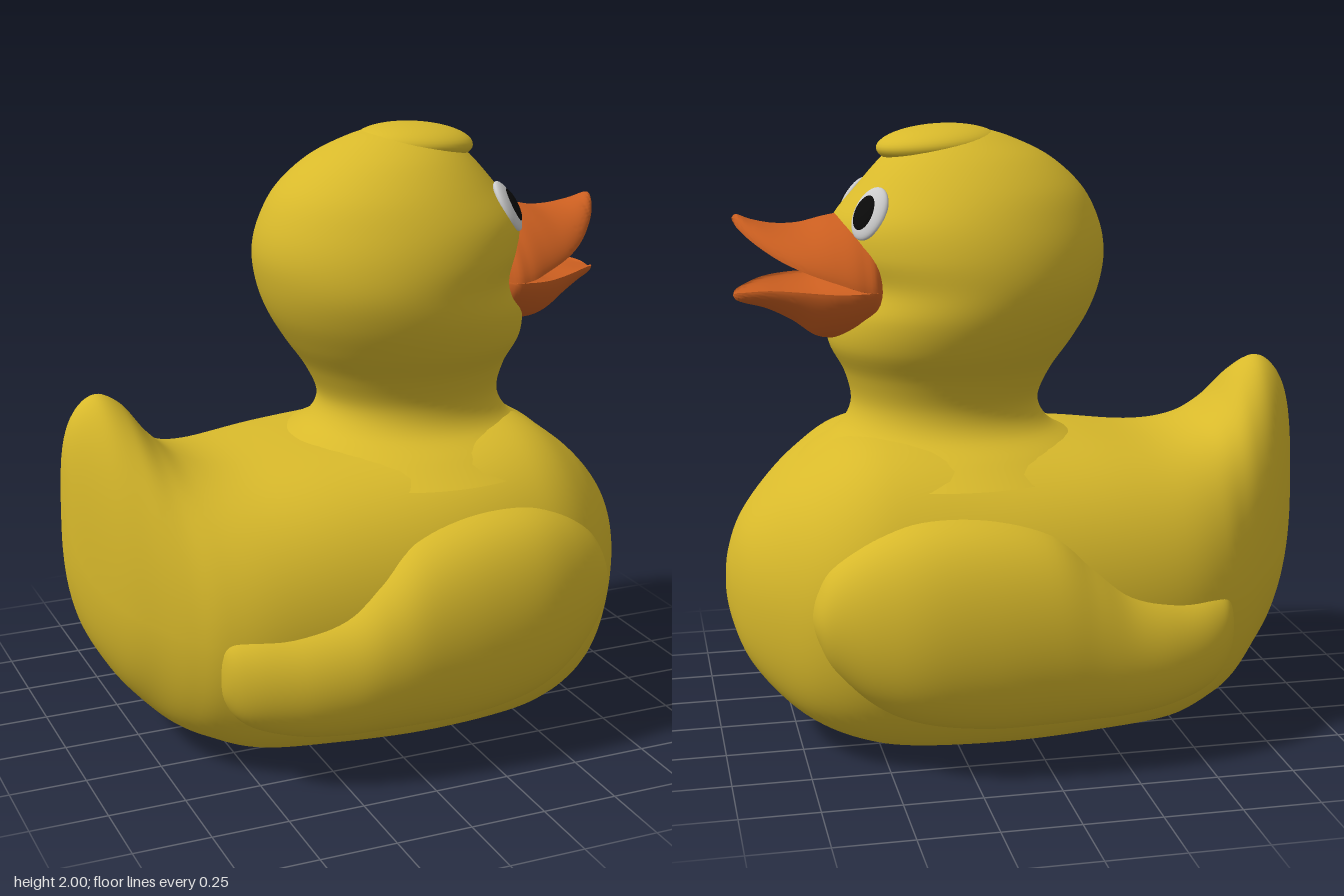
import * as THREE from 'three';
import { toCreasedNormals } from 'three/addons/utils/BufferGeometryUtils.js';

const YELLOW = 0xd8b92b, ORANGE = 0xcc5f20, WHITE = 0xdddddd, BLACK = 0x0a0a0a;

// Smooth interpolation through rows of section values
function spline(rows, u) {
  const n = rows.length - 1;
  const i = Math.min(Math.floor(u * n), n - 1);
  const t = u * n - i;
  const at = (k) => rows[Math.max(0, Math.min(n, k))];
  return rows[i].map((_, c) => {
    const [a, b, d, e] = [at(i - 1)[c], at(i)[c], at(i + 1)[c], at(i + 2)[c]];
    return b + 0.5 * t * (d - a + t * (2 * a - 5 * b + 4 * d - e + t * (3 * (b - d) + e - a)));
  });
}

// Closed surface through the sections; section(row, cos, sin) gives a point
function loft(rows, section, steps = 6, around = 72) {
  const count = (rows.length - 1) * steps;
  const pos = [], index = [];
  for (let i = 0; i <= count; i++) {
    const row = spline(rows, i / count);
    for (let j = 0; j < around; j++) {
      const t = (j / around) * Math.PI * 2;
      pos.push(...section(row, Math.cos(t), Math.sin(t)));
    }
  }
  for (let i = 0; i < count; i++) {
    for (let j = 0; j < around; j++) {
      const k = (j + 1) % around;
      const a = i * around + j, b = a + around, c = i * around + k, d = c + around;
      index.push(a, b, c, b, d, c);
    }
  }
  const g = new THREE.BufferGeometry();
  g.setAttribute('position', new THREE.Float32BufferAttribute(pos, 3));
  g.setIndex(index);
  g.computeVertexNormals();
  return g;
}

const spow = (v, p) => Math.sign(v) * Math.pow(Math.abs(v), p);

function part(name, geometry, color) {
  const mesh = new THREE.Mesh(geometry, new THREE.MeshStandardMaterial({ color, roughness: 0.6 }));
  mesh.name = name;
  return mesh;
}

export function createModel() {
  const duck = new THREE.Group();
  duck.name = 'duck';

  // Body and upturned tail: x, top, bottom, half width, widest height, top roundness
  const bodyRows = [
    [-0.97, 0.86, 0.84, 0, 0.85, 1],
    [-0.96, 1.04, 0.60, 0.08, 0.72, 1],
    [-0.92, 1.15, 0.42, 0.17, 0.62, 1.1],
    [-0.85, 1.20, 0.28, 0.28, 0.56, 1.2],
    [-0.77, 1.16, 0.18, 0.37, 0.53, 1.2],
    [-0.69, 1.06, 0.11, 0.45, 0.5, 1.0],
    [-0.60, 0.99, 0.07, 0.52, 0.5, 0.82],
    [-0.45, 0.96, 0.025, 0.58, 0.5, 0.68],
    [-0.2, 0.98, 0.01, 0.62, 0.5, 0.62],
    [0.1, 1.0, 0.0, 0.64, 0.5, 0.6],
    [0.4, 1.03, 0.005, 0.62, 0.5, 0.62],
    [0.57, 1.01, 0.035, 0.59, 0.5, 0.66],
    [0.71, 0.925, 0.09, 0.51, 0.5, 0.7],
    [0.82, 0.83, 0.17, 0.385, 0.5, 0.75],
    [0.91, 0.72, 0.28, 0.24, 0.5, 0.8],
    [0.955, 0.61, 0.4, 0.11, 0.5, 0.9],
    [0.968, 0.51, 0.49, 0, 0.5, 1],
  ];
  duck.add(part('body', loft(bodyRows, ([x, top, bottom, w, mid, p], c, s) => [
    x,
    mid + s * (s > 0 ? top - mid : mid - bottom),
    Math.max(w, 0) * spow(c, s > 0 ? p : 0.45 + 0.4 * Math.max(0, p - 0.6)),
  ]), YELLOW));

  // Neck and head: y, back x, front x, half width
  const headRows = [
    [0.90, -0.3, 0.74, 0.5],
    [0.96, -0.22, 0.67, 0.4],
    [1.02, -0.12, 0.58, 0.3],
    [1.10, -0.08, 0.54, 0.27],
    [1.20, -0.12, 0.56, 0.3],
    [1.30, -0.19, 0.61, 0.36],
    [1.40, -0.25, 0.61, 0.398],
    [1.50, -0.285, 0.57, 0.41],
    [1.60, -0.297, 0.6, 0.403],
    [1.70, -0.275, 0.59, 0.372],
    [1.80, -0.22, 0.51, 0.315],
    [1.89, -0.12, 0.43, 0.235],
    [1.95, 0.0, 0.36, 0.15],
    [1.98, 0.1, 0.29, 0.08],
    [1.99, 0.2, 0.2, 0],
  ];
  duck.add(part('head', loft(headRows, ([y, back, front, w], c, s) => [
    (back + front) / 2 - s * (front - back) / 2, y, w * c,
  ]), YELLOW));

  // Tuft curling over the forehead
  const tuft = part('tuft', new THREE.SphereGeometry(1, 40, 24), YELLOW);
  tuft.scale.set(0.2, 0.065, 0.17);
  tuft.position.set(0.245, 1.932, 0);
  tuft.rotation.z = -0.06;
  duck.add(tuft);

  // Folded wings: x, top, bottom, outer z
  const wingRows = [
    [-0.63, 0.43, 0.41, 0.45],
    [-0.61, 0.52, 0.30, 0.545],
    [-0.54, 0.545, 0.21, 0.61],
    [-0.4, 0.56, 0.16, 0.665],
    [-0.25, 0.605, 0.14, 0.70],
    [-0.13, 0.695, 0.135, 0.72],
    [0.0, 0.79, 0.13, 0.735],
    [0.2, 0.835, 0.13, 0.738],
    [0.4, 0.835, 0.16, 0.72],
    [0.55, 0.79, 0.225, 0.67],
    [0.67, 0.70, 0.34, 0.6],
    [0.72, 0.61, 0.44, 0.54],
    [0.74, 0.53, 0.51, 0.45],
  ];
  const wingGeometry = loft(wingRows, ([x, top, bottom, outer], c, s) => [
    x,
    (top + bottom) / 2 + s * (top - bottom) / 2,
    0.4 + (c > 0 ? outer - 0.4 : 0.05) * spow(c, 0.62),
  ]);
  for (const [name, side] of [['leftWing', 1], ['rightWing', -1]]) {
    const wing = part(name, wingGeometry, YELLOW);
    wing.scale.z = side;
    duck.add(wing);
  }

  // Open beak halves: x, half width, rim y, ridge y, inner y
  const beakSection = ([x, w, rim, ridge, inner], c, s, up) => [
    x,
    rim + (s * up > 0 ? (ridge - rim) * Math.pow(Math.abs(s), 1.25) : (inner - rim) * Math.abs(s)),
    Math.max(w, 0) * c,
  ];
  const upperRows = [
    [0.44, 0, 1.5, 1.6, 1.5],
    [0.47, 0.27, 1.5, 1.70, 1.5],
    [0.53, 0.305, 1.505, 1.72, 1.5],
    [0.61, 0.285, 1.53, 1.71, 1.535],
    [0.70, 0.245, 1.56, 1.69, 1.575],
    [0.78, 0.185, 1.595, 1.69, 1.615],
    [0.85, 0.11, 1.64, 1.705, 1.655],
    [0.895, 0.045, 1.68, 1.722, 1.685],
    [0.91, 0, 1.705, 1.712, 1.705],
  ];
  const lowerRows = [
    [0.44, 0, 1.5, 1.42, 1.5],
    [0.47, 0.27, 1.5, 1.36, 1.505],
    [0.53, 0.305, 1.5, 1.33, 1.505],
    [0.60, 0.29, 1.497, 1.32, 1.49],
    [0.66, 0.265, 1.498, 1.33, 1.475],
    [0.73, 0.225, 1.5, 1.38, 1.47],
    [0.81, 0.16, 1.497, 1.42, 1.472],
    [0.88, 0.08, 1.482, 1.438, 1.47],
    [0.905, 0.035, 1.474, 1.448, 1.468],
    [0.913, 0, 1.464, 1.46, 1.464],
  ];
  for (const [name, rows, up] of [['upperBeak', upperRows, 1], ['lowerBeak', lowerRows, -1]]) {
    const g = loft(rows, (row, c, s) => beakSection(row, c, s, up));
    duck.add(part(name, toCreasedNormals(g, 0.9), ORANGE));
  }

  // Eyes: flattened whites with dark pupils, facing out from the head
  const ball = new THREE.SphereGeometry(1, 32, 20);
  for (const [name, side] of [['leftEye', -1], ['rightEye', 1]]) {
    const eye = new THREE.Group();
    eye.name = name;
    const white = part('eyeWhite', ball, WHITE);
    white.scale.set(0.068, 0.09, 0.025);
    const pupil = part('pupil', ball, BLACK);
    pupil.scale.set(0.044, 0.06, 0.016);
    pupil.position.set(side * 0.006, -0.004, 0.015);
    eye.add(white, pupil);
    eye.position.set(0.495, 1.735, side * 0.192);
    eye.lookAt(eye.position.clone().add(new THREE.Vector3(1.99, 1.35, side * 1.45)));
    duck.add(eye);
  }

  return duck;
}
